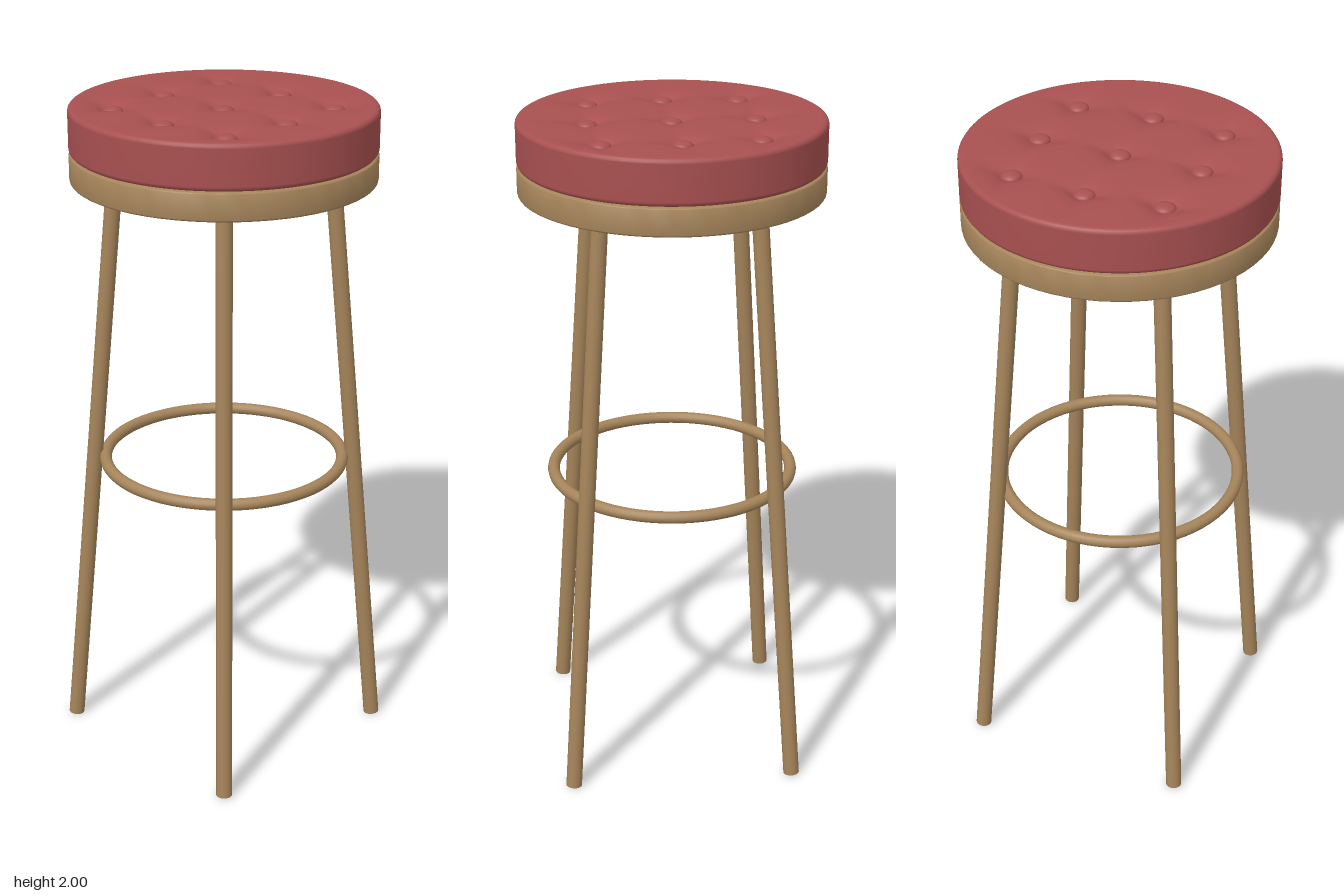
import * as THREE from 'three';
import { mergeVertices, toCreasedNormals } from 'three/addons/utils/BufferGeometryUtils.js';

const wood = new THREE.MeshStandardMaterial({ color: 0xa5845a });
const leather = new THREE.MeshStandardMaterial({ color: 0xa85050 });

const RADIUS = 0.443;
const TOP = 2.0;

// Tuft centres: one in the middle, four on the axes, four on the diagonals, slightly twisted
const tufts = [[0, 0]];
for (let i = 0; i < 8; i++) {
  const a = (i * Math.PI) / 4 + 0.02;
  const r = i % 2 ? 0.241 : 0.314;
  tufts.push([r * Math.cos(a), -r * Math.sin(a)]);
}

function addMesh(parent, name, geometry, material) {
  const mesh = new THREE.Mesh(geometry, material);
  mesh.name = name;
  parent.add(mesh);
  return mesh;
}

// Solid disc with rounded rims; the top is divided into rings so it can be shaped
function discGeometry(y0, y1, bevel, rings, segments) {
  const pts = [new THREE.Vector2(0, y0)];
  const corner = (y, start) => {
    for (let i = 0; i <= 4; i++) {
      const a = start + (i / 4) * (Math.PI / 2);
      pts.push(new THREE.Vector2(RADIUS - bevel + bevel * Math.cos(a), y + bevel * Math.sin(a)));
    }
  };
  corner(y0 + bevel, -Math.PI / 2);
  corner(y1 - bevel, 0);
  for (let i = rings - 1; i >= 0; i--) pts.push(new THREE.Vector2(((RADIUS - bevel) * i) / rings, y1));
  return new THREE.LatheGeometry(pts, segments);
}

// Depth of the pulled-in leather: a pit at each button with four diagonal pleats
function tuftDepth(x, z) {
  let depth = 0;
  for (const [tx, tz] of tufts) {
    const dx = x - tx, dz = z - tz;
    const d = Math.hypot(dx, dz);
    const pleat = Math.abs(Math.sin(2 * Math.atan2(dz, dx)));
    const reach = 0.024 + 0.016 * pleat ** 4;
    depth = Math.max(depth, 0.022 * Math.exp(-Math.max(0, d - 0.028) / reach));
  }
  return depth;
}

function cushionGeometry() {
  const geo = discGeometry(1.868, TOP, 0.014, 56, 128);
  const p = geo.attributes.position;
  for (let i = 0; i < p.count; i++) {
    if (p.getY(i) < TOP - 0.001) continue;
    const x = p.getX(i), z = p.getZ(i);
    const fade = THREE.MathUtils.clamp((RADIUS - 0.014 - Math.hypot(x, z)) / 0.05, 0, 1);
    p.setY(i, TOP - tuftDepth(x, z) * fade);
  }
  geo.deleteAttribute('uv');
  geo.deleteAttribute('normal');
  const merged = mergeVertices(geo, 1e-5);
  merged.computeVertexNormals();
  return merged;
}

export function createModel() {
  const stool = new THREE.Group();
  stool.name = 'barStool';

  // Seat
  addMesh(stool, 'seatBase', toCreasedNormals(discGeometry(1.785, 1.866, 0.006, 1, 64), 0.6), wood);
  addMesh(stool, 'cushion', cushionGeometry(), leather);

  // Domed buttons
  const buttons = new THREE.Group();
  buttons.name = 'buttons';
  stool.add(buttons);
  const buttonGeo = new THREE.SphereGeometry(0.03, 24, 8, 0, Math.PI * 2, 0, Math.PI / 2);
  buttonGeo.scale(1, 0.5, 1);
  for (const [x, z] of tufts) {
    addMesh(buttons, 'button', buttonGeo, leather).position.set(x, TOP - 0.021, z);
  }

  // Four splayed legs
  const foot = new THREE.Vector3(0.477, 0.002, 0);
  const head = new THREE.Vector3(0.312, 1.81, 0);
  const axis = head.clone().sub(foot);
  const legGeo = new THREE.CylinderGeometry(0.024, 0.024, axis.length(), 20);
  legGeo.applyQuaternion(
    new THREE.Quaternion().setFromUnitVectors(new THREE.Vector3(0, 1, 0), axis.clone().normalize())
  );
  const mid = foot.clone().add(head).multiplyScalar(0.5);
  legGeo.translate(mid.x, mid.y, mid.z);
  ['leftLeg', 'backLeg', 'rightLeg', 'frontLeg'].forEach((name, i) => {
    addMesh(stool, name, legGeo, wood).rotation.y = (i * Math.PI) / 2;
  });

  // Footrest ring
  const ring = addMesh(stool, 'footrestRing', new THREE.TorusGeometry(0.36, 0.018, 14, 72), wood);
  ring.rotation.x = Math.PI / 2;
  ring.position.y = 0.915;

  return stool;
}
